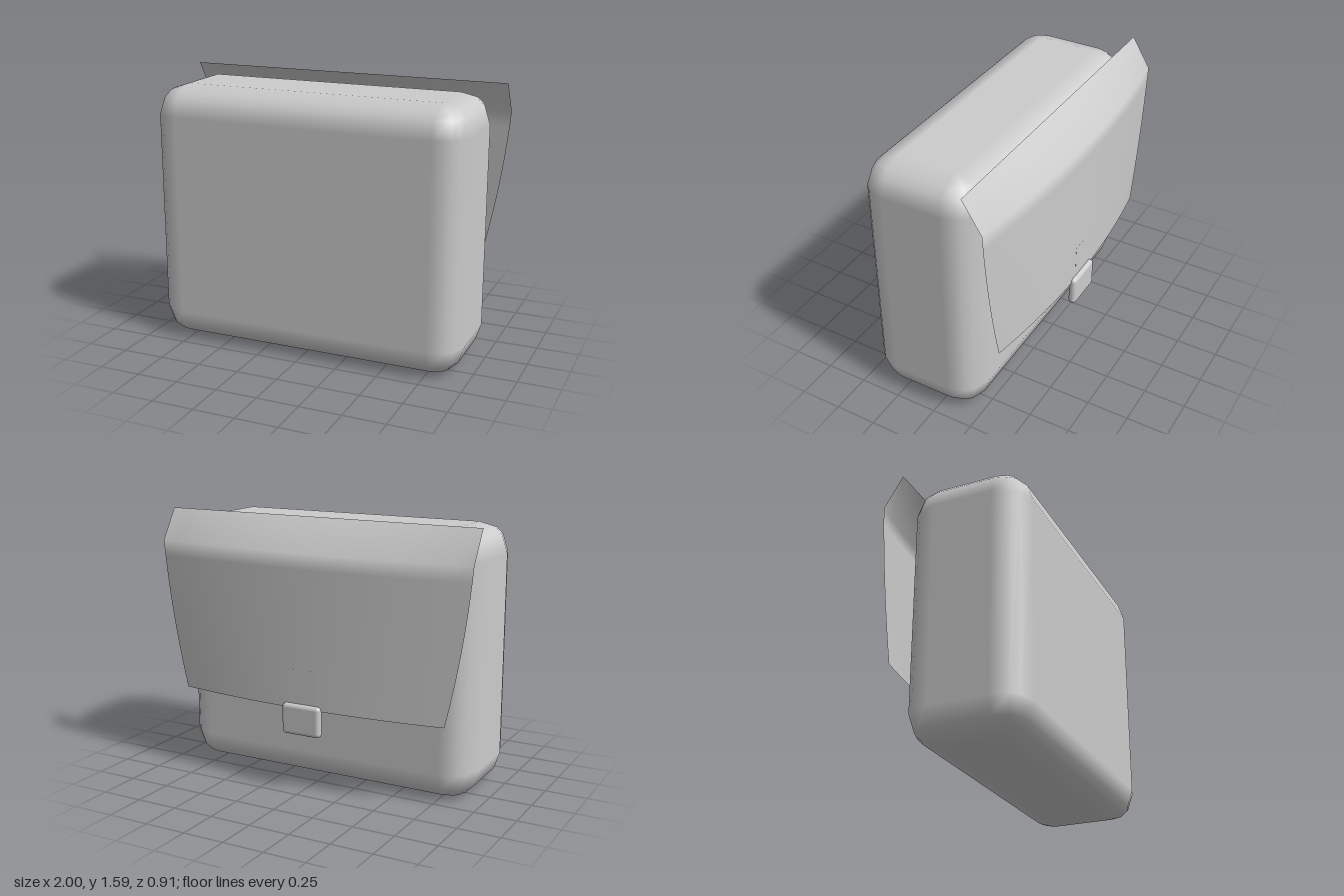
import * as THREE from 'three';
import { RoundedBoxGeometry } from 'three/addons/geometries/RoundedBoxGeometry.js';

const grey = new THREE.MeshStandardMaterial({ color: 0xcccccc });
const greySheet = new THREE.MeshStandardMaterial({ color: 0xcccccc, side: THREE.DoubleSide });

// Grid of points (and optional analytic normals) from a function of row and column
function gridGeometry(rows, cols, pointAt) {
  const pos = [], nor = [], idx = [];
  for (let r = 0; r < rows; r++) for (let c = 0; c < cols; c++) {
    const { p, n } = pointAt(r, c);
    pos.push(...p);
    if (n) nor.push(...n);
    if (r && c) {
      const d = r * cols + c, a = d - cols - 1, b = d - cols, e = d - 1;
      idx.push(a, e, b, b, e, d);
    }
  }
  const g = new THREE.BufferGeometry();
  g.setAttribute('position', new THREE.Float32BufferAttribute(pos, 3));
  g.setIndex(idx);
  if (nor.length) g.setAttribute('normal', new THREE.Float32BufferAttribute(nor, 3));
  else g.computeVertexNormals();
  return g;
}

// Box whose corners follow a few coarse rounding steps
function softBox(w, h, d, radius) {
  const steps = [0, 36, 54, 90];
  const lats = [90, 90, 54, 36, 0, 0, -36, -54, -90, -90];
  const inner = [w / 2 - radius, h / 2 - radius, d / 2 - radius];
  return gridGeometry(lats.length, 17, (r, c) => {
    const quadrant = Math.floor((c % 16) / 4);
    const lon = THREE.MathUtils.degToRad(quadrant * 90 + steps[c % 4]);
    const lat = THREE.MathUtils.degToRad(lats[r]);
    const n = [Math.cos(lat) * Math.sin(lon), Math.sin(lat), Math.cos(lat) * Math.cos(lon)];
    const sign = [quadrant < 2 ? 1 : -1, r < 5 ? 1 : -1, quadrant === 0 || quadrant === 3 ? 1 : -1];
    // first and last rows close the top and bottom at their centre
    const cap = r === 0 || r === lats.length - 1;
    const p = n.map((v, i) => (cap && i !== 1 ? 0 : sign[i] * inner[i] + v * radius));
    return { p, n };
  });
}

// Bowed flap: straight upper edge, fold, then a hanging panel that tapers
function flapGeometry() {
  const panelRows = 10, cols = 21;
  return gridGeometry(panelRows + 2, cols, (r, c) => {
    const u = 1 - (2 * c) / (cols - 1);
    if (r === 0) return { p: [u, 1.585, -0.245] };
    const t = (r - 1) / panelRows;
    const half = 1 - 0.0725 * (t + t * t);
    return { p: [u * half, 1.4 - 0.9 * t, -0.36 - 0.07 * (1 - u * u)] };
  });
}

export function createModel() {
  const group = new THREE.Group();
  const add = (name, geometry, x, y, z, material = grey) => {
    const mesh = new THREE.Mesh(geometry, material);
    mesh.name = name;
    mesh.position.set(x, y, z);
    group.add(mesh);
  };

  // Bag body
  add('body', softBox(1.9, 1.55, 0.7, 0.175), 0, 0.775, 0.105);
  // Cover sheet behind the body
  add('flap', flapGeometry(), 0, 0, 0, greySheet);
  // Clasp and the strap it sits on
  add('clasp', new RoundedBoxGeometry(0.25, 0.185, 0.05, 3, 0.024), 0, 0.435, -0.431);
  add('claspStrap', new THREE.BoxGeometry(0.15, 0.39, 0.035), 0, 0.535, -0.4125);

  return group;
}
